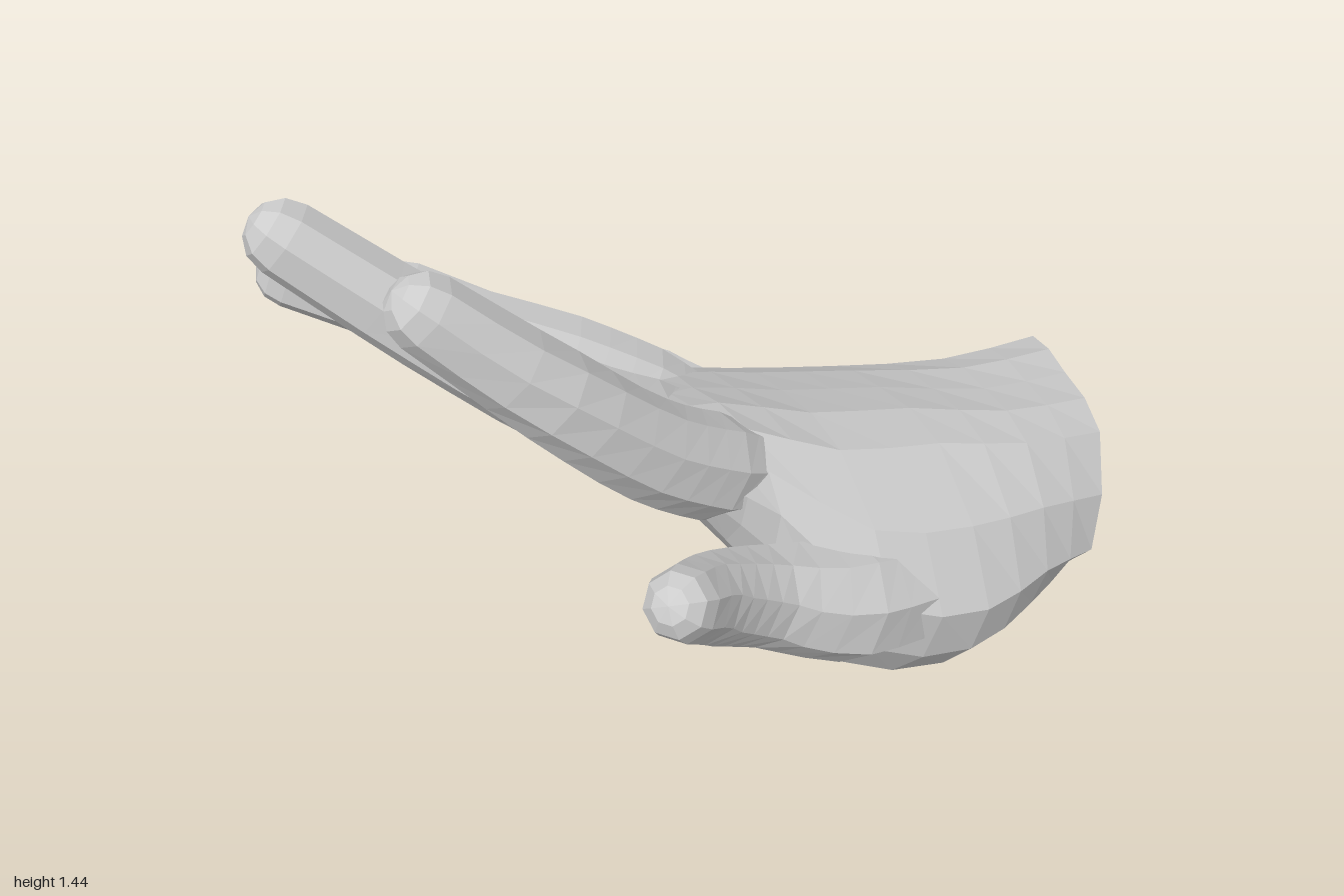
import * as THREE from 'three';

const material = new THREE.MeshStandardMaterial({
  color: 0xcccccc, flatShading: true, side: THREE.DoubleSide,
});

// Skin a list of equal-sized point rings; the last ring closes on a pole point
function loft(name, rings, pole) {
  const n = rings[0].length;
  const points = [...rings.flat(), pole];
  const index = [];
  for (let i = 0; i < rings.length; i++) {
    for (let j = 0; j < n; j++) {
      const a = i * n + j, b = i * n + (j + 1) % n;
      if (i < rings.length - 1) index.push(a, a + n, b, b, a + n, b + n);
      else index.push(a, points.length - 1, b);
    }
  }
  const geometry = new THREE.BufferGeometry().setFromPoints(points);
  geometry.setIndex(index);
  geometry.computeVertexNormals();
  const mesh = new THREE.Mesh(geometry, material);
  mesh.name = name;
  return mesh;
}

const vectors = (list) => list.map((p) => new THREE.Vector3(...p));

// Cross-sections from wrist to knuckles, each going: little-finger side,
// back of hand (3 points), thumb side, palm (3 points)
const palmSections = [
  [[0.08, 0.35, -1], [0.2, 0.51, -0.98], [0.4, 0.54, -0.9], [0.62, 0.52, -0.81],
    [0.755, 0.28, -0.68], [0.57, 0.11, -0.71], [0.31, 0.015, -0.8], [0.16, 0.1, -0.895]],
  [[0, 0.3, -0.72], [0.13, 0.51, -0.71], [0.36, 0.58, -0.64], [0.6, 0.59, -0.56],
    [0.79, 0.34, -0.48], [0.67, 0.1, -0.48], [0.36, 0.035, -0.56], [0.1, 0.015, -0.64]],
  [[-0.18, 0.28, -0.46], [-0.03, 0.51, -0.44], [0.24, 0.63, -0.38], [0.53, 0.66, -0.32],
    [0.82, 0.36, -0.25], [0.71, 0.11, -0.22], [0.38, 0.09, -0.3], [-0.01, 0.045, -0.38]],
  [[-0.285, 0.34, -0.22], [-0.14, 0.55, -0.19], [0.16, 0.69, -0.12], [0.47, 0.73, -0.05],
    [0.74, 0.44, 0], [0.61, 0.19, 0.04], [0.27, 0.24, 0], [-0.17, 0.14, -0.14]],
  [[-0.37, 0.41, -0.07], [-0.24, 0.56, -0.03], [0.08, 0.75, 0.1], [0.36, 0.82, 0.15],
    [0.51, 0.66, 0.16], [0.46, 0.46, 0.19], [0.18, 0.44, 0.15], [-0.25, 0.27, 0.01]],
  [[-0.34, 0.46, 0.03], [-0.21, 0.59, 0.06], [0.1, 0.79, 0.25], [0.31, 0.86, 0.29],
    [0.44, 0.78, 0.3], [0.39, 0.68, 0.32], [0.12, 0.62, 0.28], [-0.19, 0.46, 0.13]],
];

function makePalm() {
  const outlines = palmSections.map((s) => new THREE.CatmullRomCurve3(vectors(s), true));
  const spans = 2 * (palmSections.length - 1);
  // Smooth curves along the hand, sampled back into rings
  const columns = Array.from({ length: 16 }, (_, j) =>
    new THREE.CatmullRomCurve3(outlines.map((outline) => outline.getPoint(j / 16))));
  const rings = Array.from({ length: spans + 1 }, (_, i) =>
    columns.map((column) => column.getPoint(i / spans)));
  return loft('palm', rings, new THREE.Vector3(0.13, 0.7, 0.26));
}

// Finger along a path from base to tip, with one radius per path point
function makeFinger(name, path, radii) {
  const curve = new THREE.CatmullRomCurve3(vectors(path));
  const rings = [];
  const last = radii.length - 1;
  const ring = (centre, dir, r) => {
    const side = new THREE.Vector3(0, 1, 0).cross(dir).normalize();
    const up = dir.clone().cross(side);
    rings.push(Array.from({ length: 8 }, (_, j) => {
      const a = (j + 0.5) * Math.PI / 4;
      return centre.clone().addScaledVector(side, r * Math.cos(a))
        .addScaledVector(up, r * Math.sin(a));
    }));
  };
  const steps = last * 3;
  for (let i = 0; i <= steps; i++) {
    const t = i / steps;
    const k = Math.min(Math.floor(t * last), last - 1);
    ring(curve.getPoint(t), curve.getTangent(t),
      THREE.MathUtils.lerp(radii[k], radii[k + 1], t * last - k));
  }
  // Rounded fingertip
  const tip = curve.getPoint(1), dir = curve.getTangent(1), r = radii[last];
  for (const a of [0.55, 1.05]) {
    ring(tip.clone().addScaledVector(dir, r * Math.sin(a)), dir, r * Math.cos(a));
  }
  return loft(name, rings, tip.clone().addScaledVector(dir, r));
}

// Each finger starts inside the palm
const fingers = {
  indexFinger: [
    [[0.34, 0.65, 0.08], [0.35, 0.75, 0.25], [0.345, 0.88, 0.42], [0.3, 1.11, 0.64], [0.185, 1.36, 0.87]],
    [0.1, 0.13, 0.122, 0.11, 0.09]],
  middleFinger: [
    [[0.11, 0.61, 0.08], [0.07, 0.69, 0.24], [-0.01, 0.8, 0.42], [-0.2, 1.02, 0.67], [-0.39, 1.26, 0.91]],
    [0.09, 0.12, 0.118, 0.108, 0.095]],
  ringFinger: [
    [[-0.04, 0.52, -0.04], [-0.13, 0.625, 0.1], [-0.245, 0.72, 0.26], [-0.445, 0.85, 0.53], [-0.65, 0.975, 0.8]],
    [0.08, 0.11, 0.115, 0.103, 0.083]],
  littleFinger: [
    [[-0.19, 0.41, -0.17], [-0.3, 0.445, -0.06], [-0.385, 0.49, 0.03], [-0.56, 0.585, 0.21], [-0.75, 0.725, 0.43]],
    [0.08, 0.11, 0.105, 0.09, 0.077]],
  thumb: [
    [[0.63, 0.36, -0.16], [0.625, 0.42, 0.05], [0.59, 0.53, 0.28], [0.62, 0.64, 0.45], [0.695, 0.755, 0.585]],
    [0.15, 0.158, 0.122, 0.108, 0.088]],
};

export function createModel() {
  const hand = new THREE.Group();
  hand.name = 'hand';
  hand.add(makePalm());
  for (const [name, [path, radii]] of Object.entries(fingers)) {
    hand.add(makeFinger(name, path, radii));
  }
  // Rest the heel of the hand on the ground
  const box = new THREE.Box3().setFromObject(hand);
  hand.children.forEach((part) => { part.position.y -= box.min.y; });
  return hand;
}
